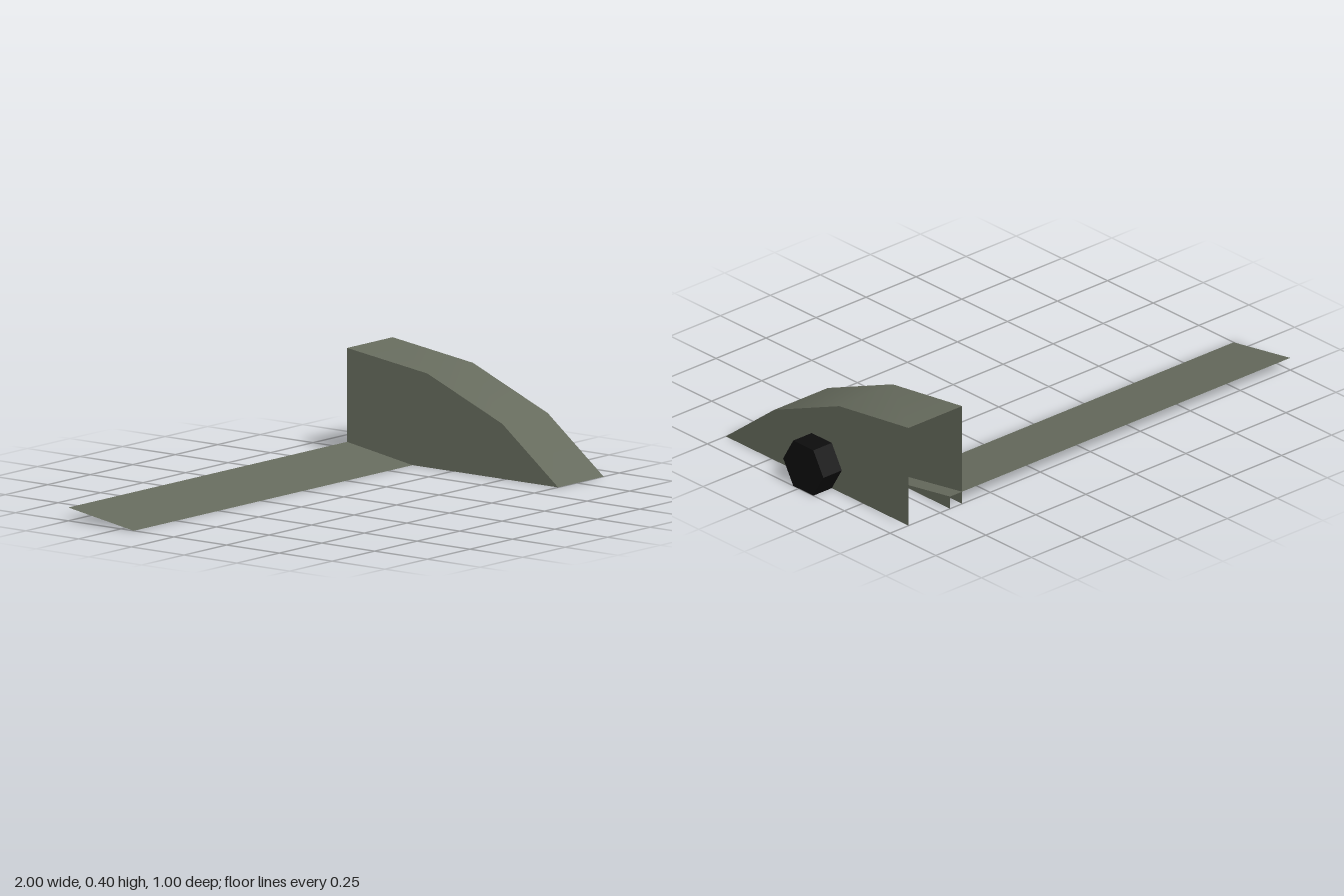
import * as THREE from 'three';

const PROFILE = [[0.5, 0], [0.235, 0.207], [-0.12, 0.353], [-0.5, 0.403]]; // z, y
const INNER = 0.64, OUTER = 0.908;

// Open sheet swept across x along a z/y profile, with shared (smooth) normals
function sheet(profile, x0, x1) {
  const positions = [], index = [];
  profile.forEach(([z, y], i) => {
    positions.push(x0, y, z, x1, y, z);
    if (i > 0) {
      const a = 2 * (i - 1);
      index.push(a, a + 1, a + 3, a, a + 3, a + 2);
    }
  });
  const geometry = new THREE.BufferGeometry();
  geometry.setAttribute('position', new THREE.Float32BufferAttribute(positions, 3));
  geometry.setIndex(index);
  geometry.computeVertexNormals();
  return geometry;
}

// Flat side plate in the z/y plane at a given x, facing +x or -x
function sidePlate(profile, x, facing) {
  const shape = new THREE.Shape(profile.map(([z, y]) => new THREE.Vector2(-facing * z, y)));
  const geometry = new THREE.ShapeGeometry(shape);
  geometry.rotateY(facing * Math.PI / 2);
  geometry.translate(x, 0, 0);
  return geometry;
}

export function createModel() {
  const model = new THREE.Group();
  model.name = 'fenderBracket';
  const olive = new THREE.MeshStandardMaterial({ color: 0x666b5d, side: THREE.DoubleSide });
  olive.name = 'olive grey';
  const black = new THREE.MeshStandardMaterial({ color: 0x0d0d0d });
  black.name = 'black';

  const add = (name, geometry, material) => {
    const mesh = new THREE.Mesh(geometry, material);
    mesh.name = name;
    model.add(mesh);
    return mesh;
  };

  // Hollow cover, open at the back and underneath
  const side = [...PROFILE, [-0.5, 0]];
  add('coverTop', sheet(PROFILE, INNER, OUTER), olive);
  add('coverOuterSide', sidePlate(side, OUTER, 1), olive);
  add('coverInnerSide', sidePlate(side, INNER, -1), olive);

  // Long sloping blade, reaching a little way into the cover
  const slope = [[-0.19, 0], [-0.5, 0.05]];
  add('blade', sheet(slope, -1, 0.7), olive);
  add('bladeEnd', sidePlate([...slope, [-0.5, 0]], 0.7, 1), olive);

  // Six-sided nut with flats at top and bottom
  const nut = new THREE.CylinderGeometry(0.11, 0.11, 1 - OUTER, 6).toNonIndexed();
  nut.rotateZ(-Math.PI / 2);
  nut.computeVertexNormals();
  const nutMesh = add('nut', nut, black);
  nutMesh.position.set((1 + OUTER) / 2, 0.0935, -0.025);
  nutMesh.scale.y = 0.98;

  return model;
}
